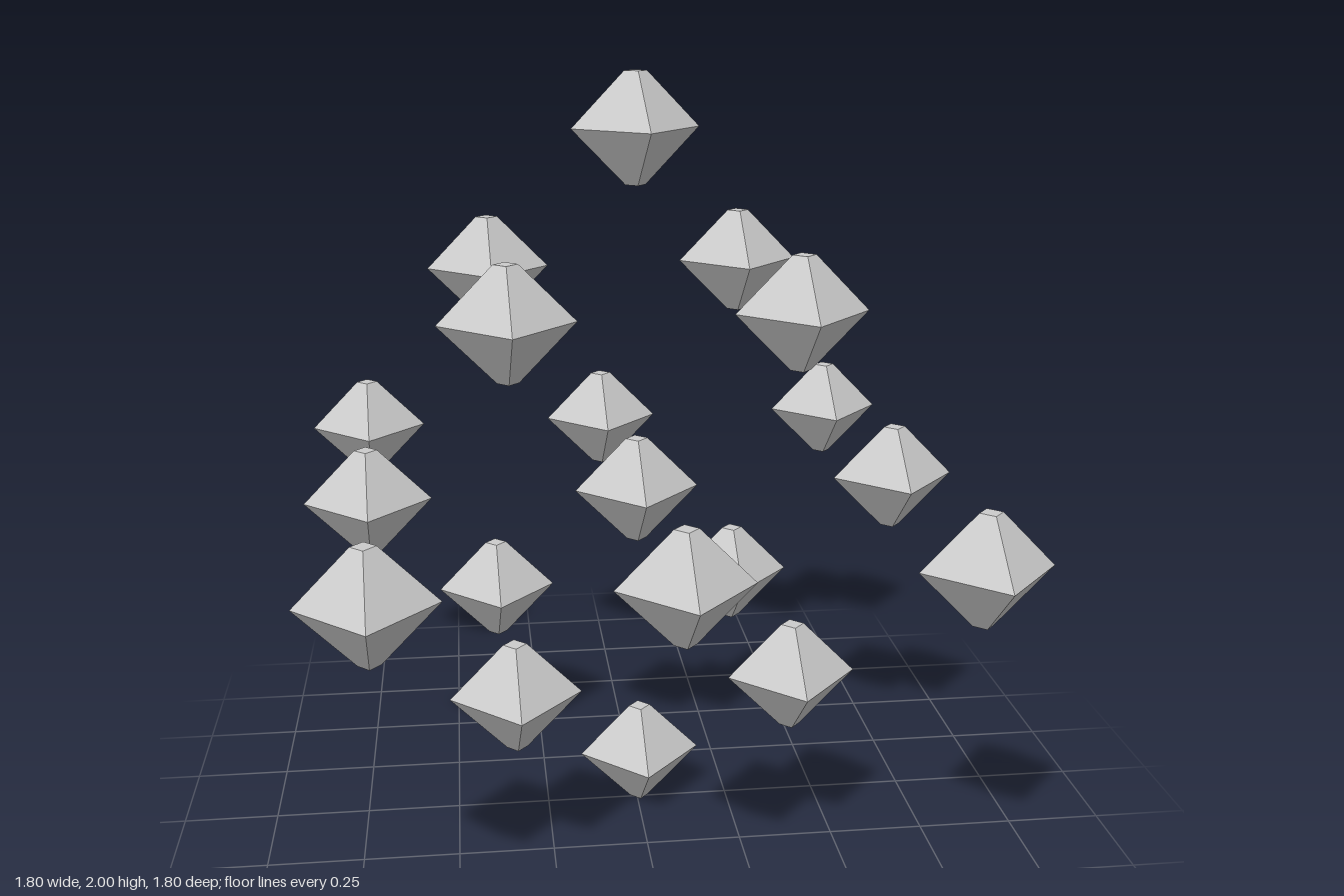
import * as THREE from 'three';

// Nineteen cut gems stacked in five layers (1, 4, 9, 4, 1) forming an octahedral lattice.
export function createModel() {
  const model = new THREE.Group();
  const material = new THREE.MeshStandardMaterial({ color: 0xcccccc, flatShading: true });

  // Four-sided gem with its tips cut flat; the girdle lies at y = 0
  const profile = [[0, -0.141], [0.026, -0.141], [0.164, 0], [0.029, 0.138], [0, 0.138]]
    .map(([r, y]) => new THREE.Vector2(r, y));
  const gemGeometry = new THREE.LatheGeometry(profile, 4);
  const turn = THREE.MathUtils.degToRad(2.6);

  function addGem(parent, name, x, z, angle = turn) {
    const gem = new THREE.Mesh(gemGeometry, material);
    gem.name = name;
    gem.position.set(x, 0, z);
    gem.rotation.y = angle;
    parent.add(gem);
  }

  function addLayer(name, y) {
    const layer = new THREE.Group();
    layer.name = name;
    layer.position.y = y;
    model.add(layer);
    return layer;
  }

  // Single gems at both tips; the top one is turned a little further
  addGem(addLayer('bottomTip', 0.144), 'bottomGem', 0.007, -0.008);
  addGem(addLayer('topTip', 1.863), 'topGem', -0.003, -0.01, THREE.MathUtils.degToRad(7));

  // Square layers of four gems
  for (const [name, y] of [['lowerLayer', 0.519], ['upperLayer', 1.46]]) {
    const layer = addLayer(name, y);
    for (const s of [-1, 1]) {
      addGem(layer, 'squareGem', -0.007 + s * 0.366, -0.007 + s * 0.337);
      addGem(layer, 'squareGem', -0.009 + s * 0.335, -0.007 - s * 0.385);
    }
  }

  // Middle layer: slightly turned grid of three by three
  const middle = addLayer('middleLayer', 0.922);
  for (let i = -1; i <= 1; i++) {
    for (let j = -1; j <= 1; j++) {
      addGem(middle, 'middleGem', -0.001 + i * 0.704 + j * 0.033, -0.004 - i * 0.031 + j * 0.703);
    }
  }
  return model;
}
